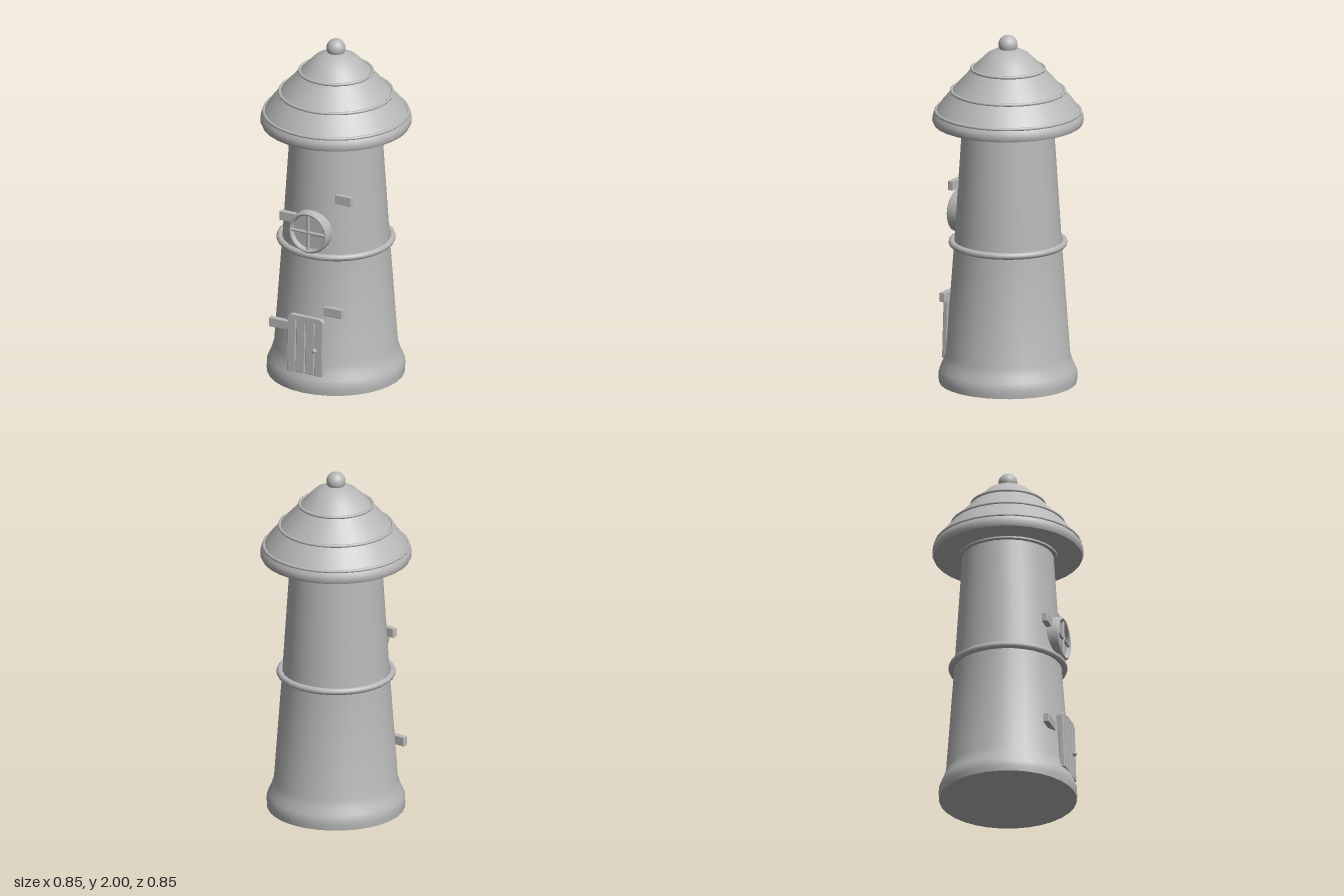
import * as THREE from 'three';
import { toCreasedNormals } from 'three/addons/utils/BufferGeometryUtils.js';
import { RoundedBoxGeometry } from 'three/addons/geometries/RoundedBoxGeometry.js';

export function createModel() {
  const group = new THREE.Group();
  const stone = new THREE.MeshStandardMaterial({ color: 0xb8b8b8 });
  stone.name = 'grey stone';

  const add = (name, geometry, x = 0, y = 0, z = 0, parent = group) => {
    const mesh = new THREE.Mesh(geometry, stone);
    mesh.name = name;
    mesh.position.set(x, y, z);
    parent.add(mesh);
    return mesh;
  };
  // Profile of [radius, height] pairs from bottom to top, turned around y
  const turned = (points, segments = 32) => toCreasedNormals(
    new THREE.LatheGeometry(points.map(([r, y]) => new THREE.Vector2(r, y)), segments), 0.6);
  const hoop = (name, y, radius, tube) =>
    add(name, new THREE.TorusGeometry(radius, tube, 10, 32).rotateX(Math.PI / 2), 0, y, 0);

  // Tapered tower with a flared foot
  add('towerWall', turned([
    [0, 0], [0.385, 0], [0.388, 0.03], [0.387, 0.06], [0.378, 0.085],
    [0.362, 0.12], [0.347, 0.165], [0.30, 0.81], [0.255, 1.5],
  ]));
  hoop('middleBand', 0.806, 0.314, 0.019);

  // Bell-shaped roof, its collar, hoops and ball finial
  add('roofCollar', turned([[0.25, 1.48], [0.278, 1.482], [0.278, 1.5]]));
  add('roof', turned([
    [0, 1.492], [0.415, 1.492], [0.423, 1.51], [0.42, 1.54], [0.402, 1.565],
    [0.365, 1.62], [0.318, 1.675], [0.262, 1.74], [0.205, 1.802],
    [0.155, 1.855], [0.115, 1.893], [0.075, 1.914], [0.03, 1.928], [0, 1.93],
  ]));
  [[1.563, 0.404], [1.68, 0.316], [1.808, 0.204]].forEach(([y, r]) => hoop('roofHoop', y, r, 0.009));
  add('finial', new THREE.SphereGeometry(0.054, 24, 16), 0, 1.946, 0);

  // Plank door with grooves, leaning with the wall
  const door = new THREE.Group();
  door.name = 'door';
  door.position.set(0, 0.11, 0.342);
  door.rotation.x = -0.03;
  group.add(door);
  const w = 0.108, h = 0.335, c = 0.025;
  const outline = new THREE.Shape();
  outline.moveTo(-w, 0).lineTo(w, 0).lineTo(w, h - c);
  outline.quadraticCurveTo(w, h, w - c, h).lineTo(c - w, h).quadraticCurveTo(-w, h, -w, h - c);
  outline.closePath();
  for (const x of [-0.059, 0, 0.059]) {
    const groove = new THREE.Path();
    groove.moveTo(x - 0.005, 0.006).lineTo(x - 0.005, h - 0.02);
    groove.lineTo(x + 0.005, h - 0.02).lineTo(x + 0.005, 0.006).closePath();
    outline.holes.push(groove);
  }
  add('doorPlanks', new THREE.ExtrudeGeometry(outline, {
    depth: 0.02, bevelEnabled: true, bevelThickness: 0.004, bevelSize: 0.003, bevelSegments: 2, curveSegments: 6,
  }), 0, 0, 0, door);
  add('doorBacking', new THREE.BoxGeometry(0.2, 0.31, 0.08), 0, 0.165, -0.033, door);
  add('doorKnob', new THREE.SphereGeometry(0.014, 16, 10), 0.065, 0.148, 0.03, door);

  // Round window: rim, recessed pane and crossed bars
  const win = new THREE.Group();
  win.name = 'window';
  win.position.set(0, 0.945, 0.29);
  group.add(win);
  add('windowRim', turned([
    [0.1, -0.06], [0.122, -0.06], [0.124, 0.025], [0.121, 0.037], [0.112, 0.043],
    [0.104, 0.038], [0.1, 0.026], [0.1, 0],
  ]).rotateX(Math.PI / 2), 0, 0, 0, win);
  add('windowPane', new THREE.CylinderGeometry(0.103, 0.103, 0.06, 32).rotateX(Math.PI / 2), 0, 0, -0.012, win);
  for (const angle of [0, Math.PI / 2]) {
    add('windowBar', new THREE.CylinderGeometry(0.009, 0.009, 0.206, 10), 0, 0, 0.03, win).rotation.z = angle;
  }

  // Loose bricks standing out of the wall: [centre x, centre y, centre z, width]
  [
    [0.18, 1.148, 0.235, 0.1],
    [-0.15, 0.998, 0.275, 0.1],
    [0.152, 0.488, 0.303, 0.117],
    [-0.187, 0.352, 0.3, 0.136],
  ].forEach(([x, y, z, width]) =>
    add('brick', new RoundedBoxGeometry(width, 0.054, 0.032, 2, 0.004), x, y, z));

  return group;
}
